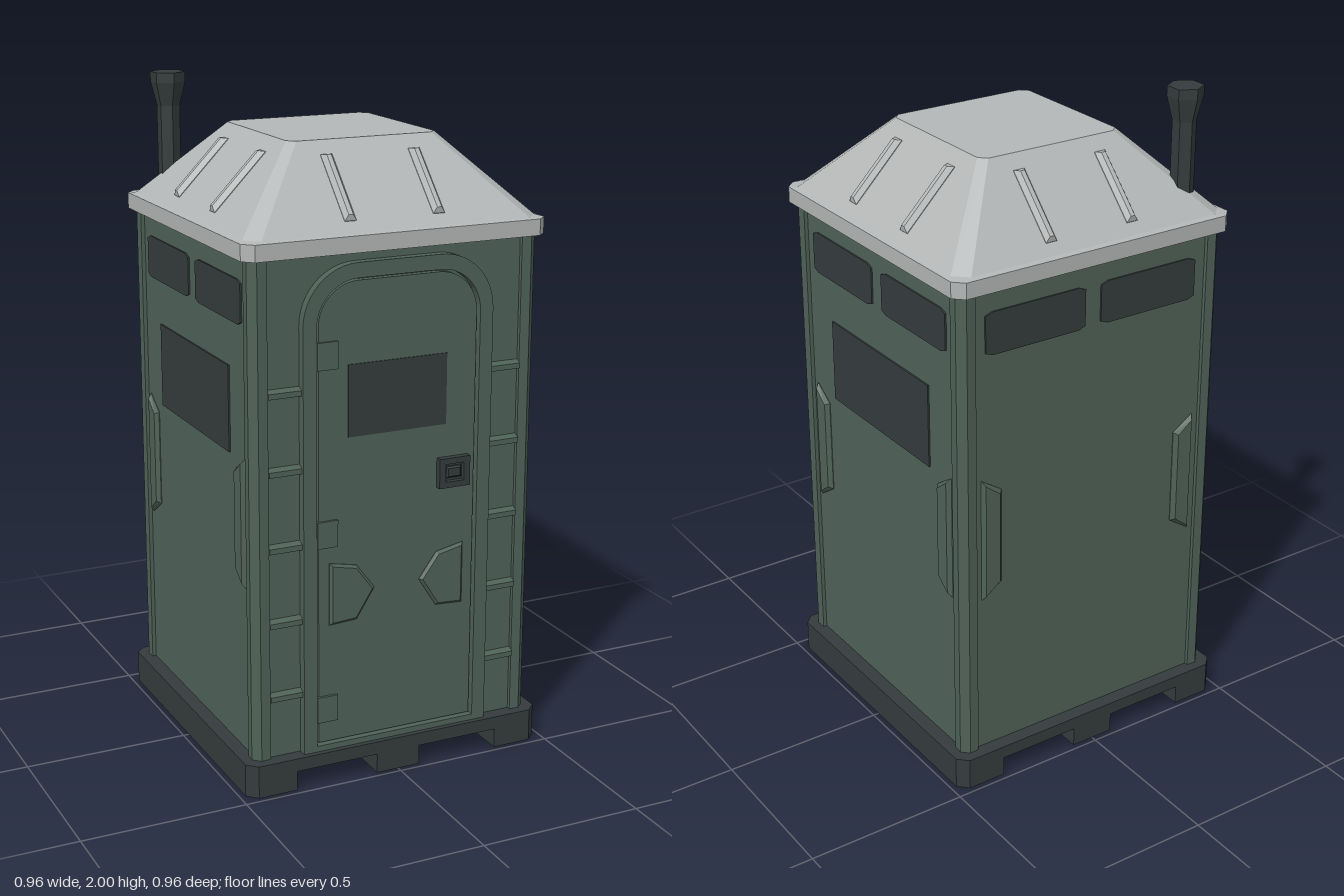
import * as THREE from 'three';

const material = (name, color) => Object.assign(new THREE.MeshStandardMaterial({ color }), { name });

// Square outline with cut corners, counterclockwise
const octagon = (h, c) => [[h - c, -h], [h, -h + c], [h, h - c], [h - c, h], [-h + c, h], [-h, h - c], [-h, -h + c], [-h + c, -h]];
const polygon = pts => new THREE.Shape(pts.map(p => new THREE.Vector2(p[0], p[1])));
const rect = (x0, x1, y0, y1) => polygon([[x0, y0], [x1, y0], [x1, y1], [x0, y1]]);

function roundedTop(w, y0, y1, r, Type = THREE.Shape) {
  const s = new Type();
  s.moveTo(-w, y0); s.lineTo(w, y0); s.lineTo(w, y1 - r);
  s.absarc(w - r, y1 - r, r, 0, Math.PI / 2, false);
  s.absarc(-w + r, y1 - r, r, Math.PI / 2, Math.PI, false);
  s.closePath();
  return s;
}

// Extrude from z0 to z1 with an optional inward chamfer on the outer face
function slab(shape, z0, z1, bevel = 0, rise = bevel) {
  const g = new THREE.ExtrudeGeometry(shape, {
    depth: z1 - z0 - rise, curveSegments: 6, bevelEnabled: bevel > 0,
    bevelSize: bevel, bevelOffset: -bevel, bevelThickness: rise, bevelSegments: 1
  });
  return g.translate(0, 0, z0);
}

// Upright prism from a plan outline
const prism = (pts, y0, y1) => slab(polygon(pts), y0, y1).rotateX(-Math.PI / 2);

// Flat-faced solid through octagonal rings [half width, corner cut, y]
function loft(rings) {
  const loops = rings.map(([h, c, y]) => octagon(h, c).map(p => [p[0], y, -p[1]]));
  const out = [];
  const tri = (a, b, c) => out.push(...a, ...b, ...c);
  for (let k = 0; k + 1 < loops.length; k++) {
    const lo = loops[k], hi = loops[k + 1];
    for (let i = 0; i < 8; i++) {
      const j = (i + 1) % 8;
      tri(lo[i], lo[j], hi[j]);
      tri(lo[i], hi[j], hi[i]);
    }
  }
  const bottom = loops[0], top = loops[loops.length - 1];
  for (let i = 1; i < 7; i++) {
    tri(top[0], top[i], top[i + 1]);
    tri(bottom[0], bottom[i + 1], bottom[i]);
  }
  const g = new THREE.BufferGeometry();
  g.setAttribute('position', new THREE.Float32BufferAttribute(out, 3));
  g.computeVertexNormals();
  return g;
}

export function createModel() {
  const green = material('greenPanel', 0x4f6258);
  const dark = material('darkPlastic', 0x353c3d);
  const grey = material('greyRoof', 0xb4b7b7);
  const model = new THREE.Group();
  model.name = 'portableToilet';

  const add = (parent, name, geometry, mat) => {
    const mesh = new THREE.Mesh(geometry, mat);
    mesh.name = name;
    parent.add(mesh);
    return mesh;
  };
  const face = (name, angle) => {
    const g = new THREE.Group();
    g.name = name;
    g.rotation.y = angle;
    model.add(g);
    return g;
  };

  // Skid base with three runners
  add(model, 'baseDeck', prism(octagon(0.482, 0.03), 0.06, 0.1), dark);
  add(model, 'middleRunner', prism([[-0.07, -0.482], [0.07, -0.482], [0.07, 0.482], [-0.07, 0.482]], 0, 0.06), dark);
  for (const s of [-1, 1]) {
    const plan = [[0.33, -0.482], [0.452, -0.482], [0.482, -0.452], [0.482, 0.452], [0.452, 0.482], [0.33, 0.482]];
    add(model, 'sideRunner', prism(plan.map(([x, z]) => [s * x, z]), 0, 0.06), dark);
  }

  // Cabin walls and corner posts
  add(model, 'cabinWalls', prism(octagon(0.438, 0.02), 0.1, 1.59), green);
  for (const sx of [-1, 1]) for (const sz of [-1, 1]) {
    const plan = [[0.4, 0.4], [0.45, 0.4], [0.452, 0.43], [0.43, 0.452], [0.4, 0.45]];
    add(model, 'cornerPost', prism(plan.map(([x, z]) => [sx * x, sz * z]), 0.1, 1.59), green);
  }

  // Roof with rim and raised ribs
  add(model, 'roof', loft([[0.474, 0.03, 1.58], [0.474, 0.03, 1.628], [0.457, 0.04, 1.632], [0.235, 0.022, 1.86]]), grey);
  const tilt = Math.atan2(0.222, 0.228);
  for (let k = 0; k < 4; k++) {
    const side = face('roofRibs', k * Math.PI / 2);
    for (const x of [-0.138, 0.138]) {
      const rib = add(side, 'roofRib', slab(rect(-0.018, 0.018, -0.113, 0.113), -0.006, 0.016, 0.011, 0.014), grey);
      rib.position.set(x, 1.742, 0.35);
      rib.rotation.x = -tilt;
    }
  }

  // Hexagonal vent pipe, flared at the top
  const pipe = (name, rTop, rBottom, y0, y1) => {
    const g = new THREE.CylinderGeometry(rTop, rBottom, y1 - y0, 6).toNonIndexed();
    g.computeVertexNormals();
    add(model, name, g, dark).position.set(-0.365, (y0 + y1) / 2, -0.365);
  };
  pipe('ventPipe', 0.035, 0.035, 1.6, 1.9);
  pipe('ventFlare', 0.053, 0.035, 1.9, 1.97);
  pipe('ventCap', 0.053, 0.053, 1.97, 2);

  // Side and back walls: vents and grips, with a window on each side
  const wallAngles = [['leftWall', Math.PI / 2], ['rightWall', -Math.PI / 2], ['backWall', Math.PI]];
  for (const [name, angle] of wallAngles) {
    const wall = face(name, angle);
    for (const s of [-1, 1]) {
      const vent = octagon(1, 0.14).map(([x, y]) => [s * 0.195 + x * 0.168, 1.445 + y * 0.064]);
      add(wall, 'vent', slab(polygon(vent), 0.436, 0.443), dark);
      const grip = [[0.378, 0.61], [0.378, 1.0], [0.31, 0.955], [0.31, 0.655]].map(([x, y]) => [s * x, y]);
      add(wall, 'sideGrip', slab(polygon(grip), 0.43, 0.452, 0.012), green);
    }
    if (name !== 'backWall') add(wall, 'sideWindow', slab(rect(-0.268, 0.268, 0.99, 1.247), 0.436, 0.443), dark);
  }

  // Door frame and door
  const front = face('frontWall', 0);
  const frame = roundedTop(0.3, 0.1, 1.552, 0.17);
  frame.holes.push(roundedTop(0.258, 0.118, 1.508, 0.13, THREE.Path));
  add(front, 'doorFrame', slab(frame, 0.43, 0.466), green);
  add(front, 'door', slab(roundedTop(0.25, 0.125, 1.5, 0.122), 0.43, 0.458), green);
  add(front, 'doorWindow', slab(rect(-0.158, 0.155, 1.05, 1.262), 0.456, 0.461), dark);
  for (const y of [0.23, 0.77, 1.295])
    add(front, 'hinge', slab(rect(-0.256, -0.192, y - 0.04, y + 0.04), 0.45, 0.466), green);
  for (const s of [-1, 1]) {
    const pocket = [[0.217, 0.49], [0.217, 0.68], [0.13, 0.662], [0.073, 0.585], [0.13, 0.495]].map(([x, y]) => [s * x, y]);
    add(front, 'doorBoss', slab(polygon(pocket), 0.45, 0.468, 0.008), green);
  }

  // Latch: raised surround with a small knob inside
  const latch = rect(0.128, 0.228, 0.86, 0.95);
  latch.holes.push(new THREE.Path(rect(0.148, 0.208, 0.878, 0.932).getPoints()));
  add(front, 'latchSurround', slab(latch, 0.455, 0.478), dark);
  add(front, 'latchPlate', slab(rect(0.14, 0.216, 0.87, 0.94), 0.455, 0.462), dark);
  add(front, 'latchKnob', slab(rect(0.154, 0.202, 0.888, 0.922), 0.46, 0.474, 0.005), dark);

  // Ledges between the door frame and the corner posts
  for (const s of [-1, 1]) for (let i = 0; i < 5; i++) {
    const y = 0.285 + i * 0.227;
    const ledge = new THREE.BoxGeometry(0.1, 0.028, 0.026);
    const p = ledge.attributes.position;
    for (let v = 0; v < p.count; v++) if (p.getZ(v) > 0 && p.getY(v) > 0) p.setY(v, 0.002);
    ledge.computeVertexNormals();
    add(front, 'ledge', ledge, green).position.set(s * 0.35, y + 0.008, 0.443);
  }
  return model;
}
